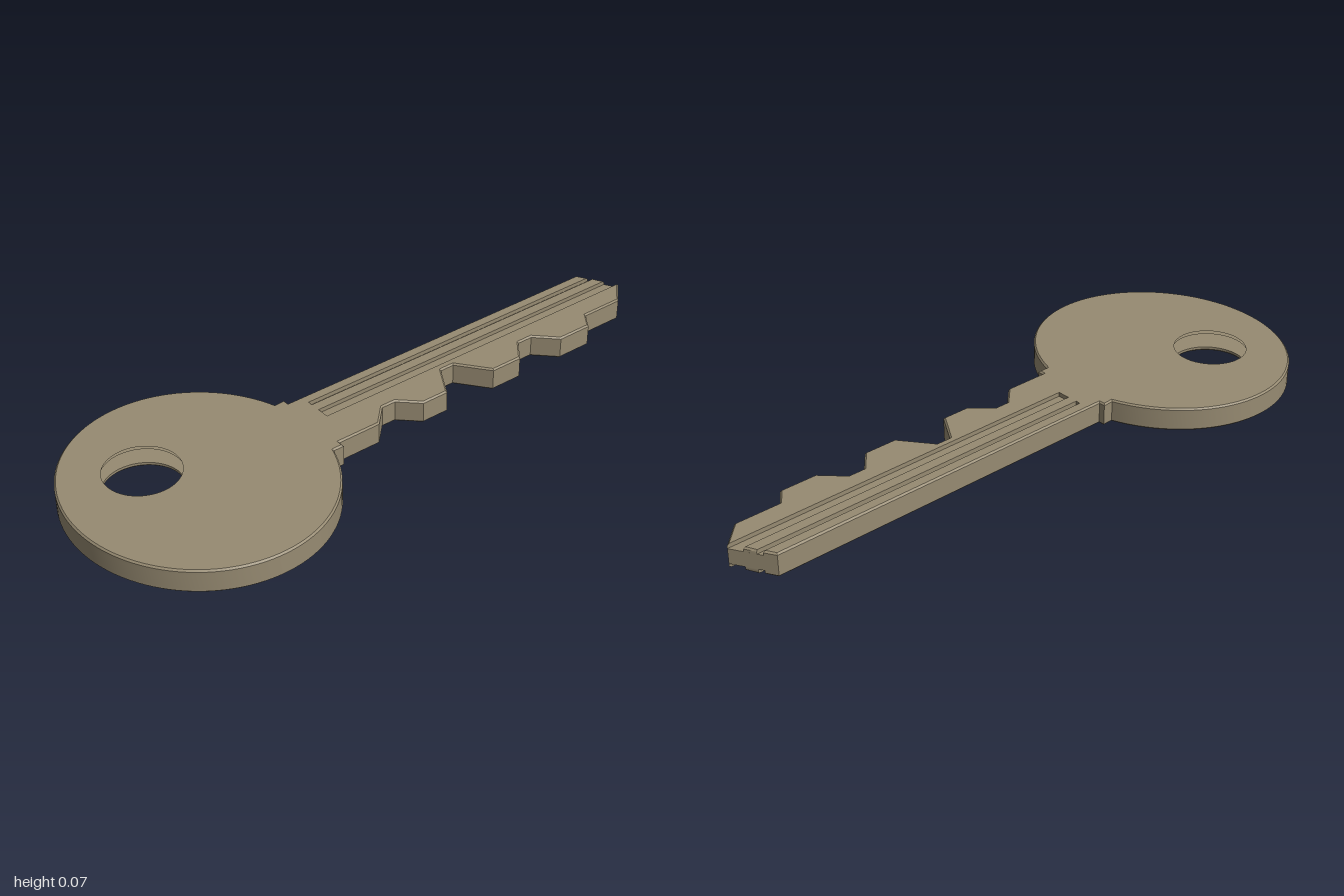
import * as THREE from 'three';
import { toCreasedNormals } from 'three/addons/utils/BufferGeometryUtils.js';

const HEIGHT = 0.073, GROOVE_DEPTH = 0.013, BEVEL = 0.005;
const GROOVES = [[-0.088, -0.072], [-0.04, 0]]; // z ranges
const GROOVE_START = -0.18;

// Bitting edge as [x, z], from tip back to shoulder
const TEETH = [
  [0.93, 0.07], [0.785, 0.07], [0.748, 0.12], [0.63, 0.12], [0.566, 0.055], [0.513, 0.055],
  [0.459, 0.12], [0.352, 0.12], [0.278, 0.022], [0.23, 0.022], [0.17, 0.12], [0.08, 0.12],
  [0.02, 0.062], [-0.027, 0.062], [-0.085, 0.12], [-0.228, 0.12],
];

// x on the slanted tip edge at a given z
const tipX = (z) => 1 + z * 0.07 / 0.122;

// Key outline; side +1 draws it for the top, -1 for the underside
function keyShape(side, grooved) {
  const pts = [];
  const a0 = Math.asin(0.14 / 0.413), steps = 96;
  for (let i = 0; i <= steps; i++) {
    const a = a0 + (2 * Math.PI - 2 * a0) * i / steps;
    pts.push([-0.62 + 0.38 * Math.cos(a), 0.413 * Math.sin(a)]);
  }
  pts.push([-0.228, -0.142], [-0.228, -0.122], [0.93, -0.122]);
  if (grooved) {
    for (const [z0, z1] of GROOVES) {
      pts.push([tipX(z0), z0], [GROOVE_START, z0], [GROOVE_START, z1], [tipX(z1), z1]);
    }
  } else {
    pts.push([1, 0]);
  }
  pts.push(...TEETH, [-0.228, 0.14]);

  const shape = new THREE.Shape(pts.map(([x, z]) => new THREE.Vector2(x, -side * z)));
  const hole = new THREE.Path();
  hole.absarc(-0.73, side * 0.11, 0.117, 0, Math.PI * 2, true);
  shape.holes.push(hole);
  return shape;
}

// Grooved face layer, chamfered along its outer rim only
function faceLayer(side) {
  const depth = GROOVE_DEPTH - BEVEL;
  const geo = new THREE.ExtrudeGeometry(keyShape(side, true), {
    depth, bevelEnabled: true, bevelThickness: BEVEL, bevelSize: BEVEL,
    bevelOffset: -BEVEL, bevelSegments: 1, curveSegments: 48,
  });
  const pos = geo.attributes.position;
  for (let i = 0; i < pos.count; i++) {
    // flatten the inner chamfer against the core
    if (pos.getZ(i) < 0) pos.setZ(i, 0);
    // keep the groove walls upright
    if (pos.getX(i) > GROOVE_START - 0.01) {
      for (const z of GROOVES.flat()) {
        if (Math.abs(pos.getY(i) + side * z) < 0.006) pos.setY(i, -side * z);
      }
      if (Math.abs(pos.getX(i) - GROOVE_START) < 0.006) pos.setX(i, GROOVE_START);
    }
  }
  geo.rotateX(-side * Math.PI / 2);
  geo.translate(0, side > 0 ? HEIGHT - GROOVE_DEPTH : GROOVE_DEPTH, 0);
  return toCreasedNormals(geo, 0.6);
}

// Solid middle of the key, forming the groove floors
function coreLayer() {
  const geo = new THREE.ExtrudeGeometry(keyShape(1, false), {
    depth: HEIGHT - 2 * GROOVE_DEPTH, bevelEnabled: false, curveSegments: 48,
  });
  geo.rotateX(-Math.PI / 2);
  geo.translate(0, GROOVE_DEPTH, 0);
  return toCreasedNormals(geo, 0.6);
}

export function createModel() {
  const brass = new THREE.MeshStandardMaterial({ color: 0x978b72 });
  brass.name = 'dullBrass';
  const key = new THREE.Group();
  key.name = 'key';
  const add = (name, geo) => {
    const mesh = new THREE.Mesh(geo, brass);
    mesh.name = name;
    key.add(mesh);
  };
  add('keyCore', coreLayer());
  add('topFace', faceLayer(1));
  add('bottomFace', faceLayer(-1));
  return key;
}
